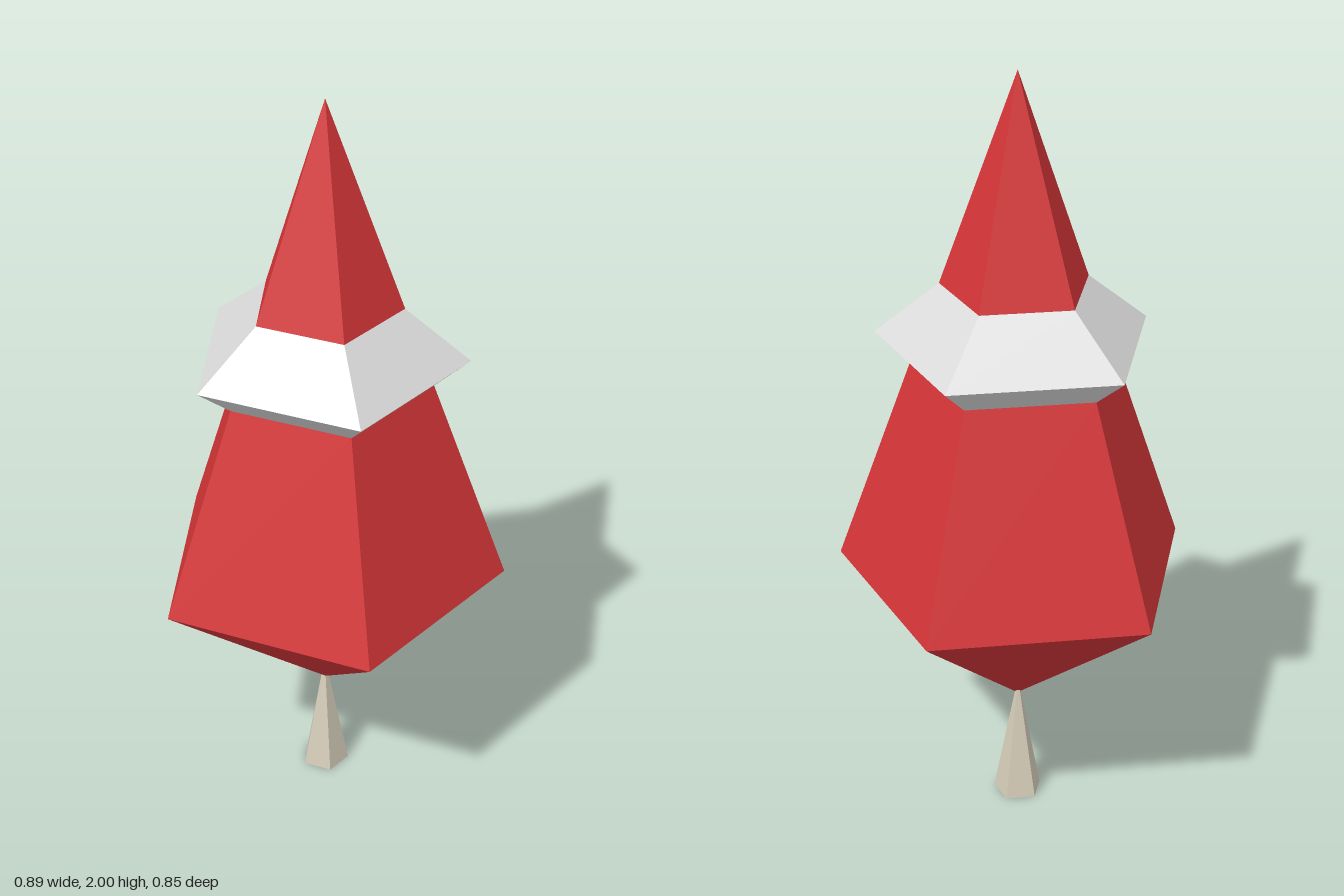
import * as THREE from 'three';

const AXIS_Z = -0.045;
const SIDES = 5;

export function createModel() {
  const model = new THREE.Group();
  model.name = 'tree';

  const mat = (name, color) => {
    const m = new THREE.MeshStandardMaterial({ color, flatShading: true });
    m.name = name;
    return m;
  };
  const red = mat('red', 0xd63639);
  const white = mat('white', 0xdcdcdc);
  const wood = mat('pale wood', 0xd6cdba);

  // five-sided tapered section with one corner facing the front
  const section = (name, material, y0, r0, y1, r1, z = AXIS_Z, open = true) => {
    const geo = new THREE.CylinderGeometry(r1, r0, y1 - y0, SIDES, 1, open);
    const mesh = new THREE.Mesh(geo, material);
    mesh.name = name;
    mesh.position.set(0, (y0 + y1) / 2, z);
    model.add(mesh);
  };

  // trunk, its tip buried in the crown
  section('trunk', wood, 0, 0.065, 0.35, 0, -0.057, false);

  // crown, stacked from bottom point to top point
  section('crownUnderside', red, 0.295, 0, 0.68, 0.47);
  section('crownBody', red, 0.68, 0.47, 1.24, 0.271);
  section('collarUnderside', white, 1.24, 0.271, 1.315, 0.361);
  section('collarTop', white, 1.315, 0.361, 1.455, 0.195);
  section('crownTip', red, 1.455, 0.195, 2, 0);

  return model;
}
